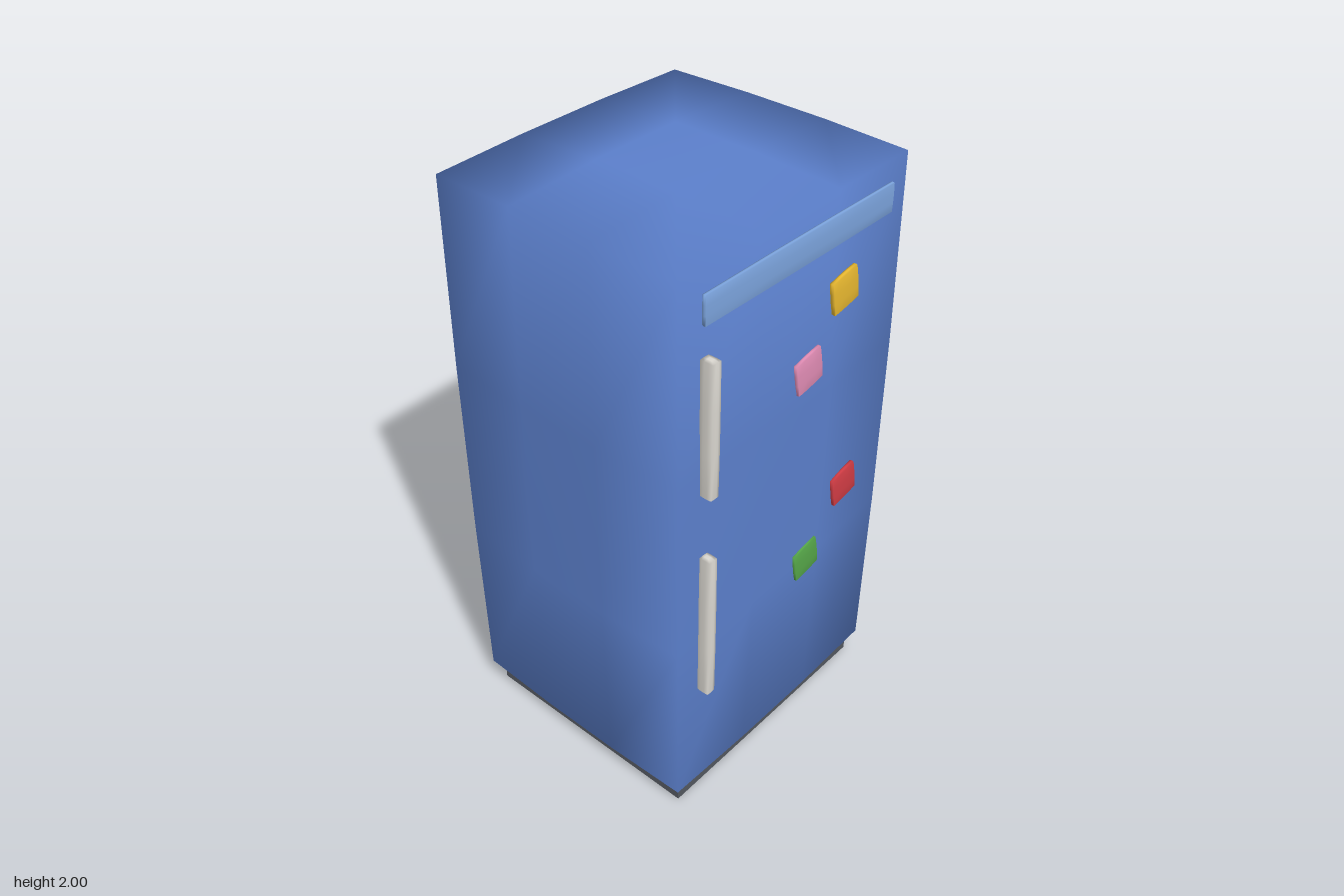
import * as THREE from 'three';
import { mergeVertices } from 'three/addons/utils/BufferGeometryUtils.js';

// Box of 3 x 3 x 3 cells whose faces swell outwards, shaded smooth all round
function pillowBox(w, h, d, bulge) {
  const geo = new THREE.BoxGeometry(w, h, d, 3, 3, 3);
  geo.deleteAttribute('normal');
  geo.deleteAttribute('uv');
  const merged = mergeVertices(geo);
  const pos = merged.attributes.position;
  const half = [w / 2, h / 2, d / 2];
  for (let i = 0; i < pos.count; i++) {
    const p = [pos.getX(i), pos.getY(i), pos.getZ(i)];
    const onSide = p.map((v, k) => Math.abs(v) > half[k] - 1e-4);
    const sides = onSide.filter(Boolean).length;
    const push = bulge * [0, 1, 0.25, 0][sides];
    pos.setXYZ(i, ...p.map((v, k) => (onSide[k] ? v + Math.sign(v) * push : v)));
  }
  merged.computeVertexNormals();
  return merged;
}

export function createModel() {
  const group = new THREE.Group();
  const add = (name, geometry, color, x, y, z) => {
    const mesh = new THREE.Mesh(geometry, new THREE.MeshStandardMaterial({ color }));
    mesh.name = name;
    mesh.position.set(x, y, z);
    group.add(mesh);
    return mesh;
  };

  // Cabinet, door seam and plinth
  add('cabinet', pillowBox(0.98, 1.9, 0.88, 0.02), 0x5b7fcb, 0, 1.03, -0.015);
  add('doorSeam', new THREE.BoxGeometry(0.982, 0.02, 0.882), 0x2f4573, 0, 1.17, -0.015);
  add('base', new THREE.BoxGeometry(0.92, 0.055, 0.825), 0x53575f, 0, 0.0275, -0.0125);

  // Trim strip across the top of the door
  add('trimStrip', pillowBox(0.81, 0.09, 0.012, 0.003), 0x7ba3dc, 0, 1.872, 0.439);

  // Upper and lower door handles
  for (const [name, y, h] of [['upperHandle', 1.5, 0.445], ['lowerHandle', 0.778, 0.54]]) {
    add(name, pillowBox(0.032, h, 0.044, 0.003), 0xdad7d0, -0.39, y, 0.45);
  }

  // Tilted square magnets
  const magnets = [
    ['yellowMagnet', 0xe8b830, 0.197, 1.665],
    ['pinkMagnet', 0xe08cb4, 0.047, 1.465],
    ['redMagnet', 0xd03c44, 0.277, 0.915],
    ['greenMagnet', 0x55a548, 0.097, 0.715],
  ];
  for (const [name, color, x, y] of magnets) {
    add(name, pillowBox(0.11, 0.11, 0.014, 0.003), color, x, y, 0.446).rotation.z = 0.18;
  }

  return group;
}
